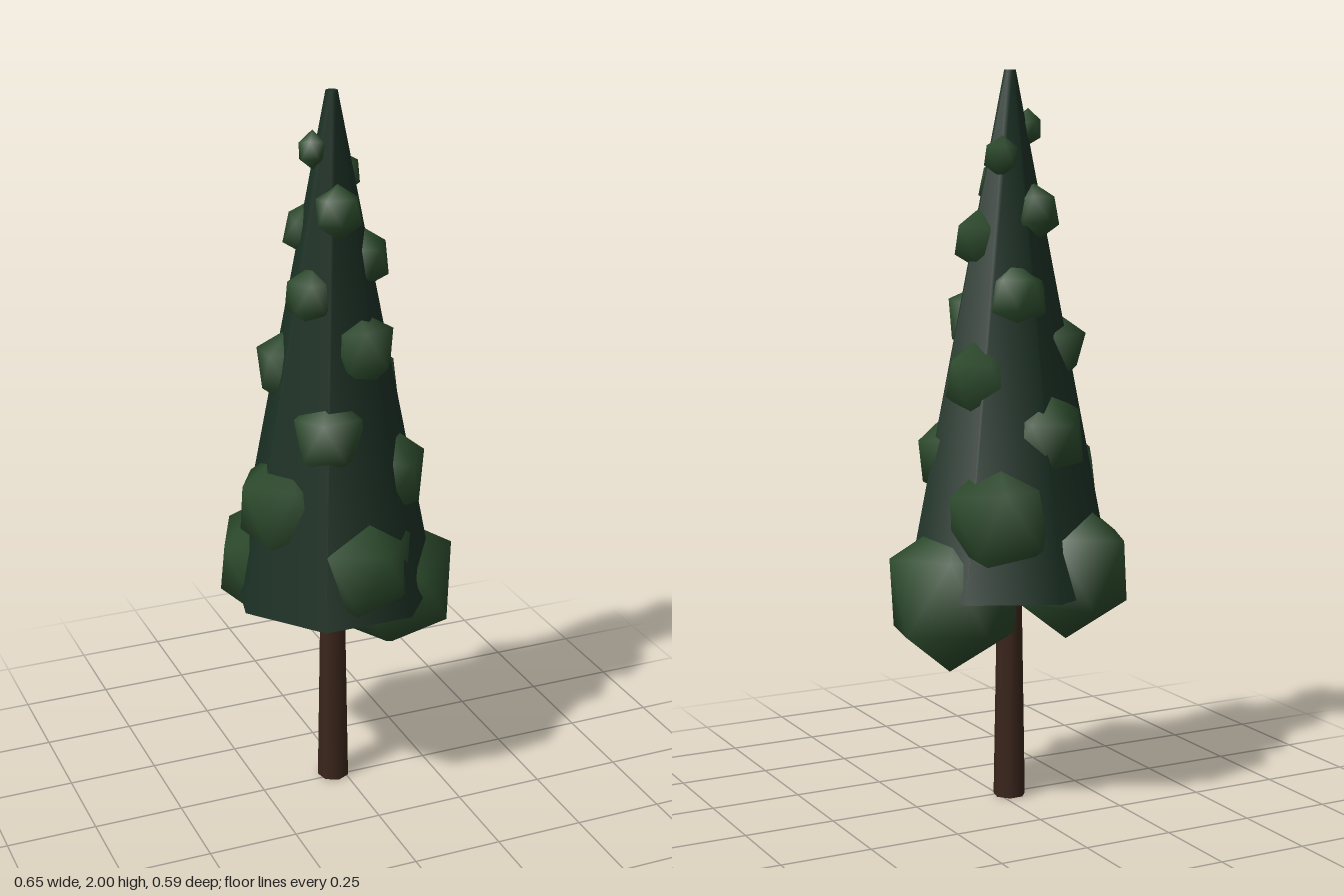
import * as THREE from 'three';
import { mergeVertices } from 'three/addons/utils/BufferGeometryUtils.js';

// small seeded generator, returns -1..1
function seeded(seed) {
  let s = seed;
  return () => {
    s = (s * 16807) % 2147483647;
    return (s / 2147483647) * 2 - 1;
  };
}

// icosahedron standing on a vertex, slightly irregular, with smooth normals
function clumpGeometry(rand) {
  let geo = new THREE.IcosahedronGeometry(1, 0);
  geo.deleteAttribute('uv');
  geo.deleteAttribute('normal');
  geo = mergeVertices(geo, 1e-3);
  geo.rotateZ(Math.atan(2 / (1 + Math.sqrt(5))));
  const pos = geo.attributes.position;
  for (let i = 0; i < pos.count; i++) {
    const k = 1 + 0.07 * rand();
    pos.setXYZ(i, pos.getX(i) * k, pos.getY(i) * k, pos.getZ(i) * k);
  }
  geo.computeVertexNormals();
  return geo;
}

export function createModel() {
  const model = new THREE.Group();
  model.name = 'conifer';
  const tree = new THREE.Group();
  tree.name = 'tree';
  tree.position.set(-0.03, 0, -0.015); // the trunk stands slightly off centre
  model.add(tree);

  const bark = new THREE.MeshStandardMaterial({ color: 0x3b261c });
  const inner = new THREE.MeshStandardMaterial({ color: 0x1b3024 });
  const leaf = new THREE.MeshStandardMaterial({ color: 0x2c4a2c });

  // trunk
  const trunk = new THREE.Mesh(new THREE.CylinderGeometry(0.033, 0.045, 0.7, 7), bark);
  trunk.name = 'trunk';
  trunk.position.y = 0.35;
  tree.add(trunk);

  // inner cone of foliage, seven sided
  const core = new THREE.Mesh(new THREE.CylinderGeometry(0.016, 0.29, 1.4, 7), inner);
  core.name = 'foliageCore';
  core.position.y = 1.3;
  core.rotation.y = Math.PI;
  tree.add(core);

  // leaf clumps spiral up the cone by the golden angle
  const rand = seeded(4711);
  const radii = [0.2, 0.19, 0.155, 0.16, 0.145, 0.125, 0.12, 0.107, 0.107,
    0.1, 0.1, 0.085, 0.075, 0.075, 0.07, 0.067, 0.05, 0.043];
  const goldenAngle = Math.PI * (3 - Math.sqrt(5));
  radii.forEach((r, i) => {
    const angle = -i * goldenAngle;
    const out = 0.175 - 0.0072 * i;
    const clump = new THREE.Mesh(clumpGeometry(rand), leaf);
    clump.name = 'leafClump' + (i + 1);
    clump.position.set(Math.cos(angle) * out, 0.585 + 0.0742 * i, Math.sin(angle) * out);
    clump.scale.set(r, r * 1.06 + 0.005, r);
    clump.rotation.set(0.15 * rand(), -angle + 0.6 * rand(), 0.15 * rand());
    tree.add(clump);
  });

  return model;
}
